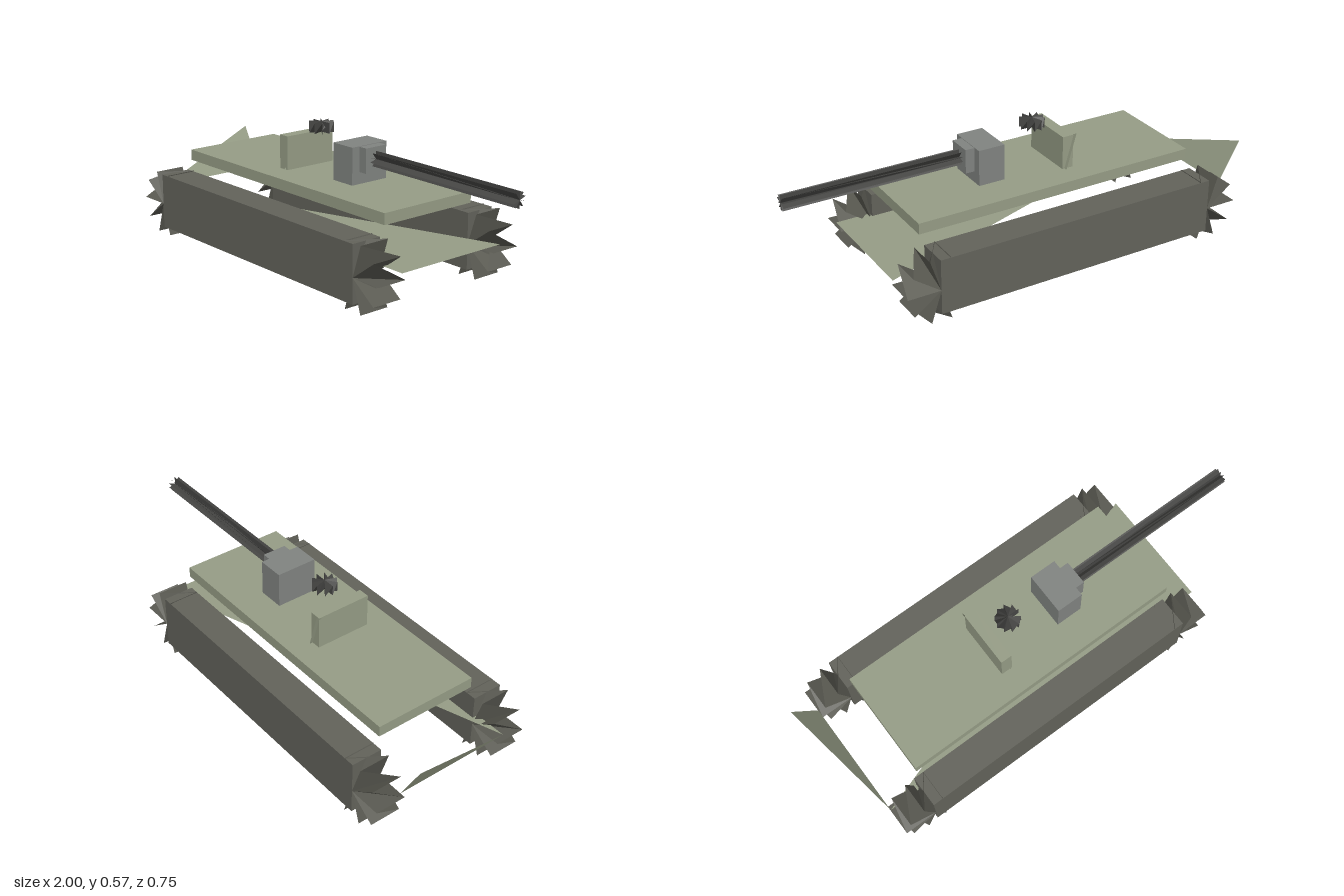
import * as THREE from 'three';

const mat = (color) => new THREE.MeshStandardMaterial({ color, flatShading: true, side: THREE.DoubleSide });
const hullMat = mat(0x959c85);
const trackMat = mat(0x62625a);
const wheelMat = mat(0x5a5a52);
const mantletMat = mat(0x808380);
const darkMat = mat(0x464644);

// Box given by its x, y and z ranges
function box(name, [x0, x1], [y0, y1], [z0, z1], material) {
  const mesh = new THREE.Mesh(new THREE.BoxGeometry(x1 - x0, y1 - y0, z1 - z0), material);
  mesh.position.set((x0 + x1) / 2, (y0 + y1) / 2, (z0 + z1) / 2);
  mesh.name = name;
  return mesh;
}

function triangles(name, points, material) {
  const geo = new THREE.BufferGeometry();
  geo.setAttribute('position', new THREE.Float32BufferAttribute(points.flat(), 3));
  geo.computeVertexNormals();
  const mesh = new THREE.Mesh(geo, material);
  mesh.name = name;
  return mesh;
}

// Ten-sided star drum along z: fans from both end centres zigzag between the two rims
function starDrum(name, radius, length, material) {
  const n = 10, h = length / 2, rim = [], points = [];
  for (let i = 0; i < n; i++) {
    const a = (i / n) * Math.PI * 2;
    const x = radius * Math.cos(a), y = radius * Math.sin(a);
    rim.push([x, y, h], [x, y, -h]);
  }
  for (let k = 0; k < rim.length - 1; k++) {
    points.push([0, 0, h], rim[k], rim[k + 1]);
    points.push([0, 0, -h], rim[k + 1], rim[k]);
  }
  return triangles(name, points, material);
}

// Half-open shell: one triangle of the floor and one of the sloped rear plate
function shell(name, rear, rearTop, front, low, high, w) {
  const group = new THREE.Group();
  group.name = name;
  group.add(
    triangles(name + 'Floor', [[rear, low, w], [front, low, w], [front, low, -w]], hullMat),
    triangles(name + 'RearPlate', [[rear, low, w], [rear, low, -w], [rearTop, high, -w]], hullMat),
  );
  return group;
}

export function createModel() {
  const model = new THREE.Group();
  model.name = 'tank';

  // Hull shell and deck
  model.add(shell('hull', -0.9, -1, 0.675, 0.171, 0.352, 0.263));
  model.add(box('deck', [-0.735, 0.54], [0.318, 0.365], [-0.231, 0.231], hullMat));

  // Tracks with a drum wheel at each end
  for (const side of [1, -1]) {
    const z = side * 0.305;
    const track = new THREE.Group();
    track.name = side > 0 ? 'frontTrack' : 'backTrack';
    track.add(box('trackBody', [-0.756, 0.523], [0.03, 0.27], [z - 0.068, z + 0.068], trackMat));
    for (const x of [-0.756, 0.523]) {
      const wheel = starDrum('wheel', 0.144, 0.136, wheelMat);
      wheel.position.set(x, 0.137, z);
      track.add(wheel);
    }
    model.add(track);
  }

  // Turret shell and rear block
  model.add(shell('turret', -0.19, -0.235, 0.2, 0.366, 0.521, 0.139));
  model.add(box('turretBlock', [-0.23, -0.18], [0.365, 0.51], [-0.123, 0.123], hullMat));

  // Hatch drum, upright
  const hatch = starDrum('hatch', 0.053, 0.045, darkMat);
  hatch.rotation.x = -Math.PI / 2;
  hatch.position.set(-0.106, 0.548, 0);
  model.add(hatch);

  // Gun mount and barrel pointing along +x
  model.add(box('mantlet', [0.078, 0.195], [0.372, 0.528], [-0.091, 0.091], mantletMat));
  model.add(box('barrelCollar', [0.195, 0.235], [0.422, 0.526], [-0.053, 0.053], mantletMat));
  const barrel = starDrum('barrel', 0.033, 0.765, darkMat);
  barrel.rotation.set(0, Math.PI / 2, Math.PI / 2, 'YXZ');
  barrel.position.set(0.6175, 0.475, 0);
  model.add(barrel);

  return model;
}
